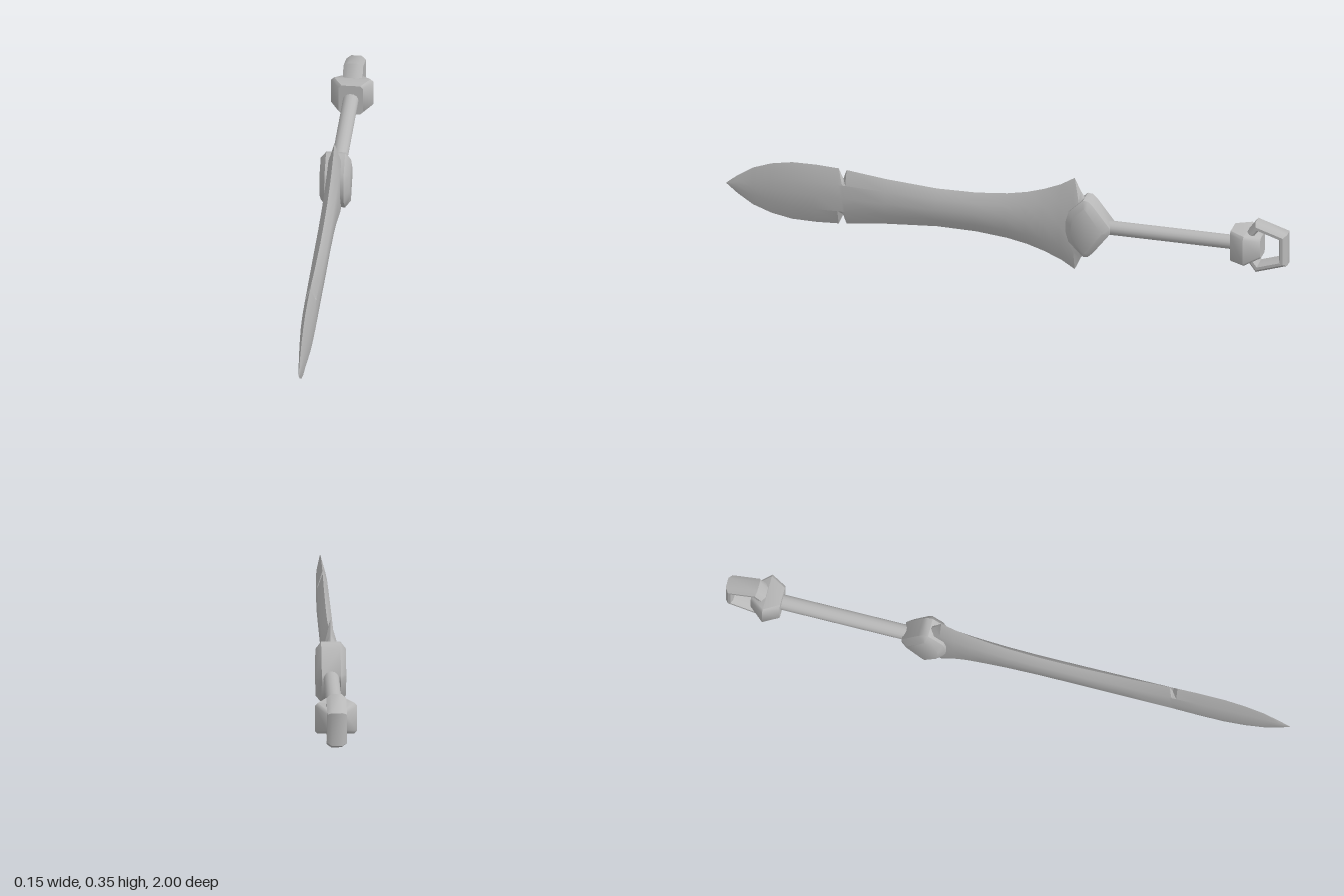
import * as THREE from 'three';
import { toCreasedNormals, mergeVertices } from 'three/addons/utils/BufferGeometryUtils.js';

const AXIS_Y = 0.175;

// Skin a list of cross-sections; each is counter-clockwise seen from +z, ordered by rising z
function loft(sections, crease) {
  const n = sections[0].length;
  const index = [];
  for (let i = 0; i < sections.length - 1; i++) {
    for (let j = 0; j < n; j++) {
      const k = (j + 1) % n;
      const a = i * n + j, b = i * n + k, c = b + n, d = a + n;
      index.push(a, b, c, a, c, d);
    }
  }
  const last = (sections.length - 1) * n;
  for (let j = 1; j < n - 1; j++) {
    index.push(0, j + 1, j, last, last + j, last + j + 1);
  }
  const g = new THREE.BufferGeometry();
  g.setAttribute('position', new THREE.Float32BufferAttribute(sections.flat(2), 3));
  g.setIndex(index);
  return toCreasedNormals(g, crease);
}

export function createModel() {
  const model = new THREE.Group();
  const steel = new THREE.MeshStandardMaterial({ color: 0xb8b8b8 });
  steel.name = 'grey steel';

  const add = (name, geometry, z = 0) => {
    const mesh = new THREE.Mesh(geometry, steel);
    mesh.name = name;
    mesh.position.set(0, AXIS_Y, z);
    model.add(mesh);
    return mesh;
  };

  // Leaf blade: z, half height, half height of the thick middle, half thickness
  const bladeRows = [
    [-0.285, 0.09, 0.07, 0.021],
    [-0.26, 0.13, 0.09, 0.021],
    [-0.24, 0.174, 0.1, 0.021],
    [-0.19, 0.143, 0.08, 0.021],
    [-0.13, 0.118, 0.065, 0.021],
    [-0.07, 0.099, 0.055, 0.021],
    [0, 0.085, 0.046, 0.021],
    [0.11, 0.074, 0.04, 0.021],
    [0.25, 0.072, 0.04, 0.021],
    [0.43, 0.085, 0.045, 0.02],
    [0.572, 0.102, 0.05, 0.019],
    [0.583, 0.068, 0.05, 0.019],
    [0.6, 0.105, 0.05, 0.019],
    [0.68, 0.109, 0.052, 0.018],
    [0.765, 0.108, 0.05, 0.016],
    [0.84, 0.094, 0.042, 0.012],
    [0.905, 0.07, 0.03, 0.008],
    [0.96, 0.034, 0.015, 0.004],
    [1, 0.001, 0.0005, 0.0003],
  ];
  add('blade', loft(bladeRows.map(([z, h, f, t]) => [
    [t * 1.06, 0, z], [t, f, z], [0, h, z], [-t, f, z],
    [-t * 1.06, 0, z], [-t, -f, z], [0, -h, z], [t, -f, z],
  ]), 0.6));

  // Guard: faceted kite, chamfered on both sides
  const half = [[-0.372, 0.012], [-0.312, 0.09], [-0.295, 0.105], [-0.278, 0.107], [-0.226, 0.056], [-0.216, 0.02]];
  const outline = [...half, ...half.map(([z, y]) => [z, -y]).reverse()];
  const guardShape = new THREE.Shape(outline.map(([z, y]) => new THREE.Vector2(z, y)));
  const guard = new THREE.ExtrudeGeometry(guardShape, {
    depth: 0.066, bevelEnabled: true, bevelSegments: 1,
    bevelThickness: 0.019, bevelSize: 0.022, bevelOffset: -0.022,
  });
  guard.translate(0, 0, -0.033).rotateY(-Math.PI / 2);
  guard.deleteAttribute('uv');
  guard.deleteAttribute('normal');
  add('guard', toCreasedNormals(mergeVertices(guard), 0.8));

  // Grip: slightly oval rod
  const grip = new THREE.CylinderGeometry(0.027, 0.027, 0.48, 16);
  grip.rotateX(Math.PI / 2).scale(1, 0.9, 1);
  add('grip', grip, -0.58);

  // Pommel block: chamfered body, widest in the middle
  const c = 0.01;
  const blockRows = [[-0.908, 0.033, 0.038], [-0.857, 0.073, 0.055], [-0.803, 0.042, 0.057]];
  add('pommelBlock', loft(blockRows.map(([z, w, h]) => [
    [w, -h + c, z], [w, h - c, z], [w - c, h, z], [-w + c, h, z],
    [-w, h - c, z], [-w, -h + c, z], [-w + c, -h, z], [w - c, -h, z],
  ]), 0.85));

  // Pommel ring: five-sided loop standing in the blade plane
  const profile = [
    [0.1, -0.018], [0.1, 0.018], [0.086, 0.034], [0.074, 0.034], [0.066, 0.02],
    [0.066, -0.02], [0.074, -0.034], [0.086, -0.034], [0.1, -0.018],
  ].map(([r, y]) => new THREE.Vector2(r, y));
  const ring = new THREE.LatheGeometry(profile, 5);
  ring.rotateZ(Math.PI / 2);
  add('pommelRing', toCreasedNormals(ring, 0.85), -0.919);

  return model;
}
